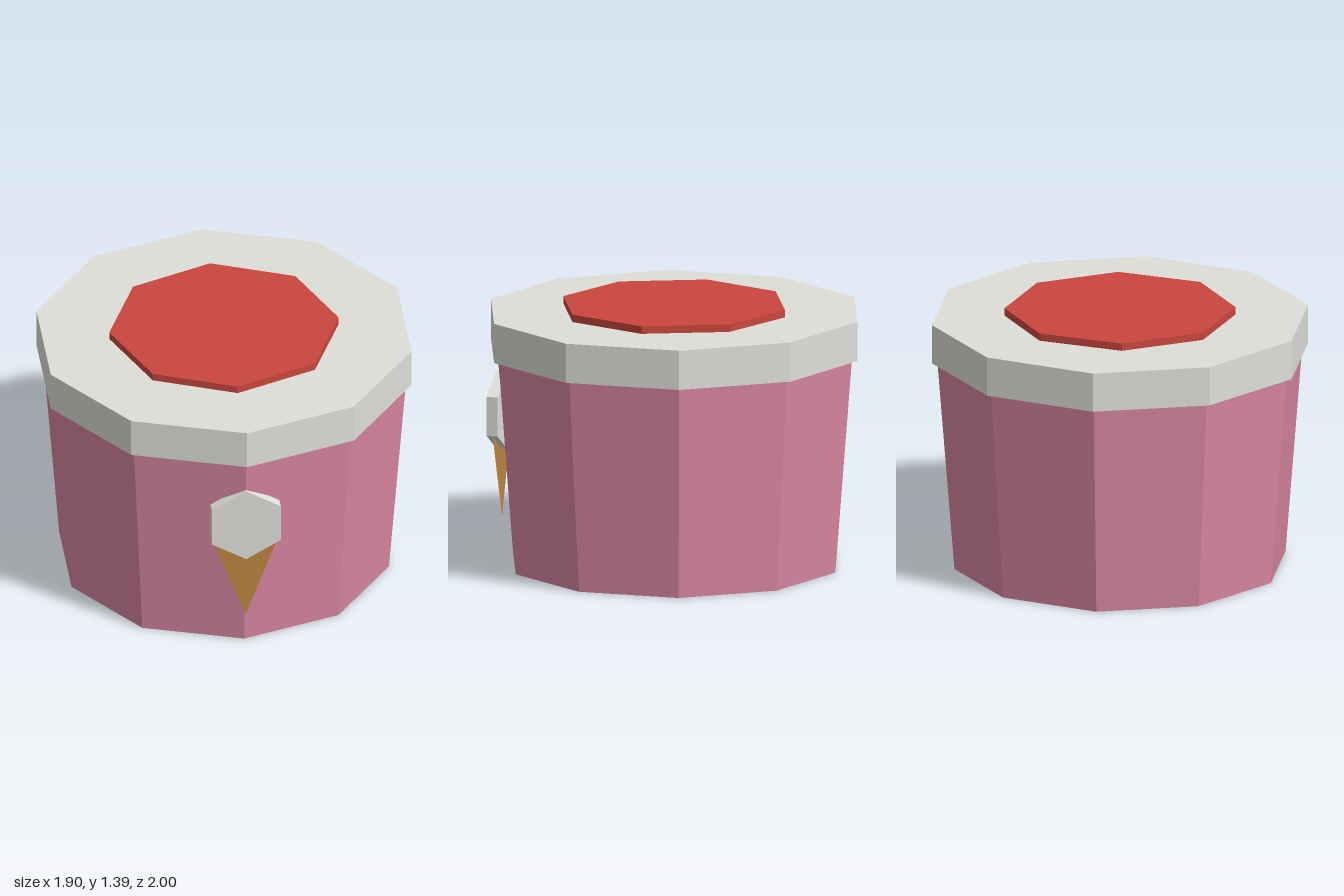
import * as THREE from 'three';

const flat = (name, color) => {
  const m = new THREE.MeshStandardMaterial({ color });
  m.name = name;
  return m;
};

export function createModel() {
  const group = new THREE.Group();
  const pink = flat('pink', 0xd987a3);
  const grey = flat('paleGrey', 0xdedfd9);
  const red = flat('red', 0xc9463e);
  const tan = flat('waferTan', 0xb98540);
  tan.side = THREE.DoubleSide;

  const add = (name, geometry, material) => {
    const mesh = new THREE.Mesh(geometry.toNonIndexed(), material);
    mesh.geometry.computeVertexNormals(); // faceted sides
    mesh.name = name;
    group.add(mesh);
    return mesh;
  };

  // Upright faceted drum between two heights
  const drum = (name, rTop, rBottom, y0, y1, sides, material) => {
    const g = new THREE.CylinderGeometry(rTop, rBottom, y1 - y0, sides);
    g.translate(0, (y0 + y1) / 2, 0);
    return add(name, g, material);
  };

  drum('tub', 0.97, 0.88, 0, 1.14, 10, pink);
  drum('lid', 1, 1, 1.14, 1.35, 10, grey);
  drum('lidDisc', 0.605, 0.605, 1.34, 1.39, 8, red);

  // Ice cream emblem: hexagonal scoop over a flat wafer triangle
  const scoop = new THREE.CylinderGeometry(0.21, 0.21, 0.06, 6);
  scoop.rotateX(Math.PI / 2);
  scoop.translate(0, 0.76, 0.94);
  add('emblemScoop', scoop, grey);

  const wafer = new THREE.Shape([
    new THREE.Vector2(0, 0.19),
    new THREE.Vector2(0.175, 0.66),
    new THREE.Vector2(-0.175, 0.66),
  ]);
  const waferGeometry = new THREE.ShapeGeometry(wafer);
  waferGeometry.translate(0, 0, 0.94);
  add('emblemCone', waferGeometry, tan);

  return group;
}
